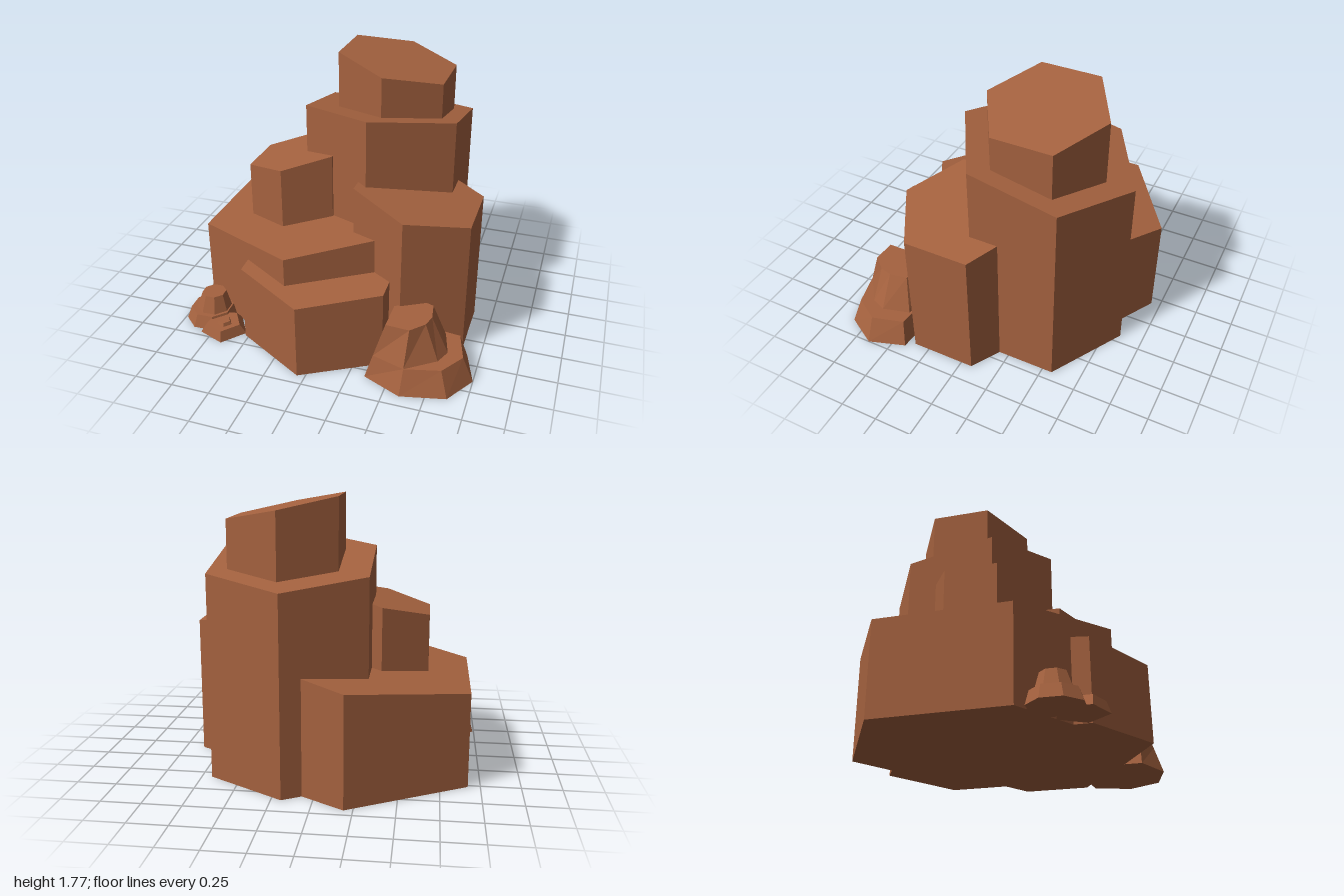
import * as THREE from 'three';

const clay = new THREE.MeshStandardMaterial({ color: 0xa5623f, flatShading: true });
clay.name = 'red clay';

// Hexagonal column whose flat top tilts: height = h + sx * dx + sz * dz
function column(name, x, z, r, h, sx, sz) {
  const geo = new THREE.CylinderGeometry(r, r, 1, 6).toNonIndexed();
  const p = geo.attributes.position;
  for (let i = 0; i < p.count; i++) {
    const top = p.getY(i) > 0;
    p.setY(i, top ? h + sx * p.getX(i) + sz * p.getZ(i) : 0);
  }
  geo.computeVertexNormals();
  const mesh = new THREE.Mesh(geo, clay);
  mesh.name = name;
  mesh.position.set(x, 0, z);
  return mesh;
}

// Faceted rock skinned over stacked rings; each ring is { y, pts: [[x, z], ...] }
function rock(name, rings) {
  const n = rings[0].pts.length;
  const pos = [];
  const at = (k, j) => new THREE.Vector3(rings[k].pts[j % n][0], rings[k].y, rings[k].pts[j % n][1]);
  const tri = (a, b, c) => {
    if (new THREE.Triangle(a, b, c).getArea() > 1e-7) for (const v of [a, b, c]) pos.push(v.x, v.y, v.z);
  };
  const middle = (k) => {
    const c = new THREE.Vector3();
    for (let j = 0; j < n; j++) c.add(at(k, j));
    return c.divideScalar(n);
  };
  const last = rings.length - 1;
  const low = middle(0), high = middle(last);
  for (let j = 0; j < n; j++) {
    for (let k = 0; k < last; k++) {
      tri(at(k, j), at(k + 1, j), at(k, j + 1));
      tri(at(k, j + 1), at(k + 1, j), at(k + 1, j + 1));
    }
    tri(low, at(0, j), at(0, j + 1));
    tri(high, at(last, j + 1), at(last, j));
  }
  const geo = new THREE.BufferGeometry();
  geo.setAttribute('position', new THREE.Float32BufferAttribute(pos, 3));
  geo.computeVertexNormals();
  const mesh = new THREE.Mesh(geo, clay);
  mesh.name = name;
  return mesh;
}

// Regular ring for the small rocks
function ring(y, n, cx, cz, r, startDeg) {
  const pts = [];
  for (let j = 0; j < n; j++) {
    const a = THREE.MathUtils.degToRad(startDeg) + (j / n) * Math.PI * 2;
    pts.push([cx + r * Math.cos(a), cz + r * Math.sin(a)]);
  }
  return { y, pts };
}

export function createModel() {
  const group = new THREE.Group();
  group.name = 'rockFormation';

  // Stepped cluster of columns
  group.add(
    column('wideBaseColumn', -0.195, -0.1, 0.84, 0.7, 0.135, 0),
    column('leftColumn', -0.37, -0.018, 0.335, 1.08, 0.245, 0),
    column('tallColumn', 0.19, -0.28, 0.572, 1.365, 0, 0.2),
    column('summitColumn', 0.23, -0.285, 0.395, 1.7, -0.206, 0),
    column('rightColumn', 0.503, 0.14, 0.43, 0.98, -0.2, 0),
    column('frontColumn', -0.052, 0.387, 0.545, 0.543, 0, -0.085)
  );

  // Large boulder with a ledge cut into its right half
  group.add(rock('ledgeBoulder', [
    { y: 0, pts: [[1, 0.65], [0.88, 0.855], [0.6, 0.92], [0.35, 0.81], [0.35, 0.55], [0.6, 0.38], [0.92, 0.41]] },
    { y: 0.167, pts: [[0.93, 0.65], [0.83, 0.81], [0.61, 0.866], [0.4, 0.8], [0.4, 0.56], [0.61, 0.41], [0.87, 0.44]] },
    { y: 0.167, pts: [[0.83, 0.63], [0.79, 0.73], [0.61, 0.866], [0.4, 0.8], [0.4, 0.56], [0.61, 0.41], [0.78, 0.45]] },
    { y: 0.4, pts: [[0.72, 0.62], [0.7, 0.7], [0.62, 0.79], [0.47, 0.78], [0.47, 0.58], [0.62, 0.47], [0.7, 0.5]] }
  ]));

  // Two small stepped rocks on the other side
  group.add(rock('smallTallRock', [
    ring(0, 8, -0.835, 0.525, 0.168, 20),
    ring(0.085, 8, -0.83, 0.52, 0.142, 20),
    ring(0.085, 8, -0.815, 0.515, 0.115, 20),
    ring(0.197, 8, -0.813, 0.51, 0.08, 20)
  ]));
  group.add(rock('smallFlatRock', [
    ring(0, 5, -0.69, 0.628, 0.16, 3),
    ring(0.07, 5, -0.685, 0.645, 0.117, 3),
    ring(0.07, 5, -0.672, 0.66, 0.05, 3),
    ring(0.093, 5, -0.672, 0.66, 0.04, 3)
  ]));
  return group;
}
